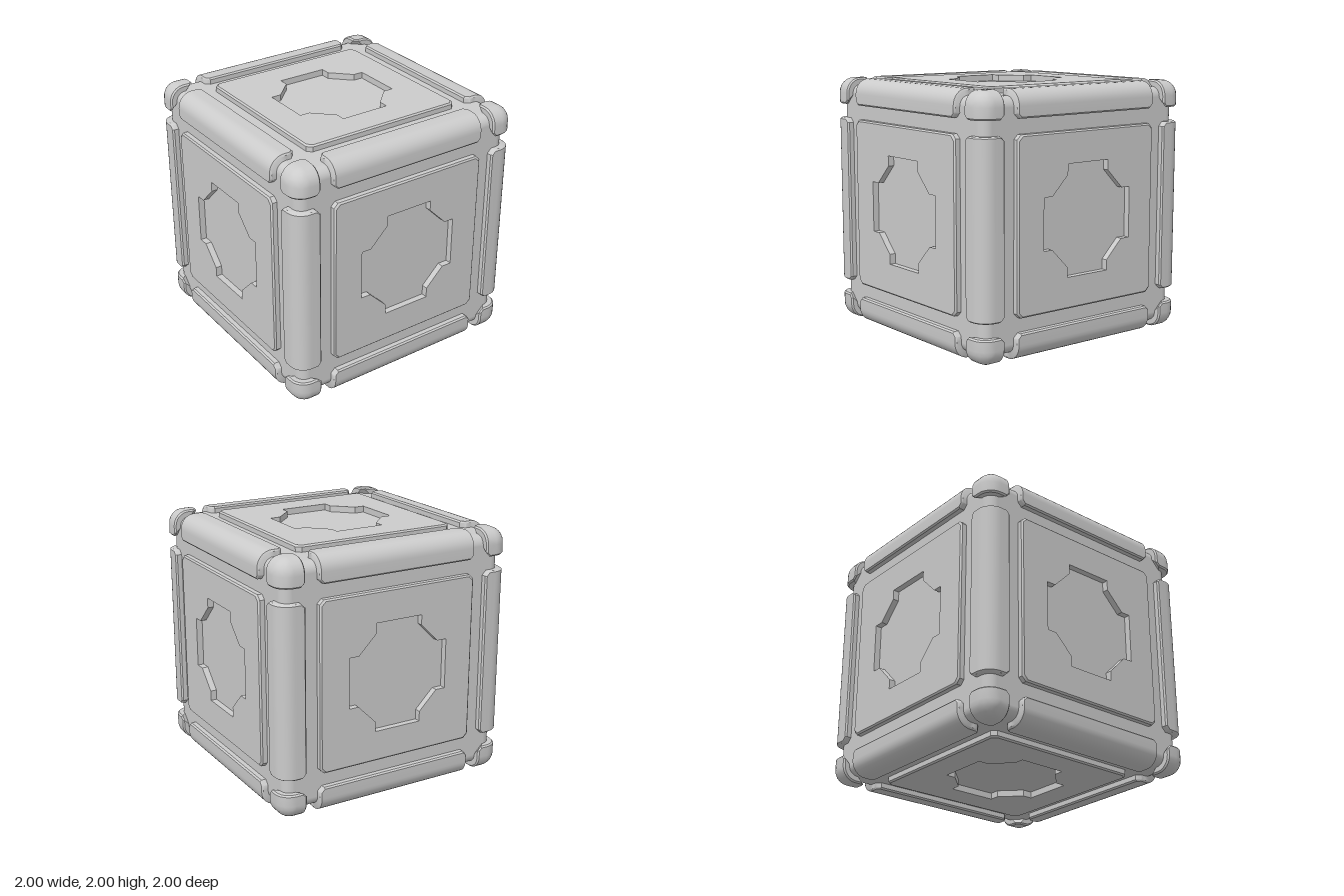
import * as THREE from 'three';
import { toCreasedNormals } from 'three/addons/utils/BufferGeometryUtils.js';
import { RoundedBoxGeometry } from 'three/addons/geometries/RoundedBoxGeometry.js';
import { ConvexGeometry } from 'three/addons/geometries/ConvexGeometry.js';

const IN = 0.79, OUT = 1, R = 0.12, C = OUT - R, HALF = 0.675, CORE = 0.95;
const CREASE = 0.6;

// Edge bar along z: one rounded outer edge, chamfered ends, lofted from sections
function barGeometry() {
  const section = (a, h, z) => {
    const pts = [[a, a], [h - 0.012, a], [h, a + 0.012]];
    for (let i = 0; i <= 8; i++) {
      const t = (i / 8) * Math.PI / 2;
      pts.push([h - R + R * Math.cos(t), h - R + R * Math.sin(t)]);
    }
    pts.push([a + 0.012, h], [a, h - 0.012]);
    return pts.map(([x, y]) => [x, y, z]);
  };
  const ends = [[IN + 0.035, OUT - 0.012, HALF], [IN + 0.025, OUT, HALF - 0.01], [IN, OUT, HALF - 0.035]];
  const rings = [
    ...ends.map(([a, h, z]) => section(a, h, -z)),
    ...ends.slice().reverse().map(([a, h, z]) => section(a, h, z)),
  ];
  const n = rings[0].length, index = [];
  for (let r = 0; r < rings.length - 1; r++) {
    for (let i = 0; i < n; i++) {
      const a = r * n + i, b = r * n + (i + 1) % n;
      index.push(a, b, b + n, a, b + n, a + n);
    }
  }
  const last = (rings.length - 1) * n;
  for (let i = 1; i < n - 1; i++) {
    index.push(0, i + 1, i, last, last + i, last + i + 1);
  }
  const g = new THREE.BufferGeometry();
  g.setAttribute('position', new THREE.Float32BufferAttribute(rings.flat(2), 3));
  g.setIndex(index);
  return toCreasedNormals(g, CREASE);
}

// Corner cap: hull of a rounded outer corner and a chamfered inner side
function cornerGeometry() {
  const pts = [], N = 6;
  const add = (axis, t, u, v) => {
    const p = [0, 0, 0];
    p[axis] = t; p[(axis + 1) % 3] = u; p[(axis + 2) % 3] = v;
    pts.push(new THREE.Vector3(...p));
  };
  for (let i = 0; i <= N; i++) {
    const el = (i / N) * Math.PI / 2;
    for (let j = 0; j <= (i === N ? 0 : N); j++) {
      const az = (j / N) * Math.PI / 2;
      add(1, C + R * Math.sin(el), C + R * Math.cos(el) * Math.cos(az), C + R * Math.cos(el) * Math.sin(az));
    }
  }
  for (let axis = 0; axis < 3; axis++) {
    for (let i = 0; i <= N; i++) {
      const t = (i / N) * Math.PI / 2, c = Math.cos(t), s = Math.sin(t);
      add(axis, IN + 0.012, C + R * c, C + R * s);
      add(axis, IN, C + (R - 0.012) * c, C + (R - 0.012) * s);
    }
    // footprint chamfer on the face
    add(axis, OUT, IN + 0.012, IN + 0.035);
    add(axis, OUT, IN + 0.035, IN + 0.012);
    add(axis, OUT - 0.012, IN, IN + 0.035);
    add(axis, OUT - 0.012, IN + 0.035, IN);
  }
  return toCreasedNormals(new ConvexGeometry(pts), CREASE);
}

// Face panel with clipped corners, a bevelled rim and a stepped octagonal opening
function panelGeometry() {
  const h = HALF, k = HALF - 0.035;
  const shape = new THREE.Shape([[h, -k], [h, k], [k, h], [-k, h], [-h, k], [-h, -k], [-k, -h], [k, -h]]
    .map(([x, y]) => new THREE.Vector2(x, y)));
  const hole = [];
  for (let q = 0; q < 4; q++) {
    for (const [x, y] of [[0.43, -0.2], [0.43, 0.2], [0.35, 0.2], [0.2, 0.35]]) {
      hole.push(new THREE.Vector2(x, y).rotateAround(new THREE.Vector2(), q * Math.PI / 2));
    }
  }
  shape.holes.push(new THREE.Path(hole));
  const depth = OUT - CORE + 0.02;
  const g = new THREE.ExtrudeGeometry(shape, { depth, steps: 2, bevelEnabled: false });
  // raise the middle layer and pull in the top rim to form the bevel
  const p = g.attributes.position;
  for (let i = 0; i < p.count; i++) {
    const x = p.getX(i), y = p.getY(i), z = p.getZ(i);
    if (Math.abs(z - depth / 2) < 1e-4) p.setZ(i, depth - 0.012);
    else if (z > depth / 2 && Math.max(Math.abs(x), Math.abs(y)) > 0.6) {
      p.setXY(i, x * 0.982, y * 0.982);
    }
  }
  g.translate(0, 0, CORE - 0.02);
  return toCreasedNormals(g, CREASE);
}

export function createModel() {
  const model = new THREE.Group();
  model.name = 'panelledCube';
  const material = new THREE.MeshStandardMaterial({ color: 0xcccccc });
  const body = new THREE.Group();
  body.name = 'body';
  body.position.y = 1;
  model.add(body);

  const place = (name, geometry, rx = 0, ry = 0, rz = 0) => {
    const mesh = new THREE.Mesh(geometry, material);
    mesh.name = name;
    mesh.rotation.set(rx, ry, rz);
    body.add(mesh);
  };
  const Q = Math.PI / 2;

  place('core', new RoundedBoxGeometry(2 * CORE, 2 * CORE, 2 * CORE, 4, 0.08));

  const panel = panelGeometry(), bar = barGeometry(), corner = cornerGeometry();
  for (let i = 0; i < 4; i++) {
    place('sidePanel', panel, 0, i * Q, 0);
    // bars along z, x and y
    place('edgeBarZ', bar, 0, 0, i * Q);
    place('edgeBarX', bar, 0, Q, i % 2 ? Math.PI : 0);
    place('edgeBarY', bar, Q, 0, i * Q);
    body.children.at(-2).rotation.set(i * Q, Q, 0);
    place('topCorner', corner, 0, i * Q, 0);
    place('bottomCorner', corner, Math.PI, i * Q, 0);
  }
  place('topPanel', panel, -Q, 0, 0);
  place('bottomPanel', panel, Q, 0, 0);
  return model;
}
